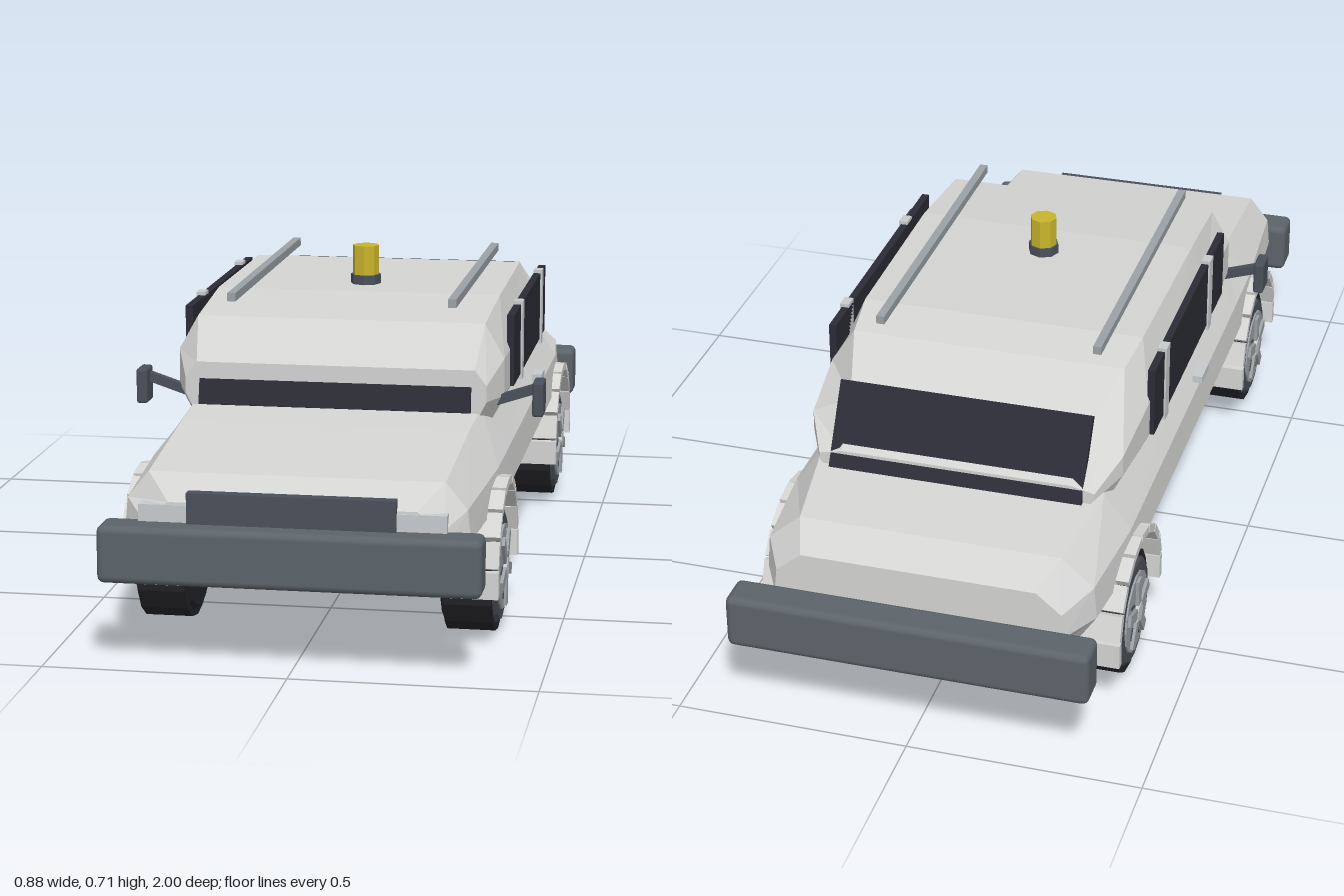
import * as THREE from 'three';
import { RoundedBoxGeometry } from 'three/addons/geometries/RoundedBoxGeometry.js';

const mat = (name, color, flat = true) => {
  const m = new THREE.MeshStandardMaterial({ color, flatShading: flat });
  m.name = name;
  return m;
};

// Closed hull from mirrored half sections [x, y], stations ordered front to back
function loft(stations) {
  const rings = stations.map(({ z, half }) => [
    ...half.map(([x, y]) => [x, y, z]),
    ...[...half].reverse().map(([x, y]) => [-x, y, z]),
  ]);
  const pos = [];
  const tri = (a, b, c) => pos.push(...a, ...b, ...c);
  const n = rings[0].length;
  for (let i = 0; i < rings.length - 1; i++) {
    for (let j = 0; j < n; j++) {
      const k = (j + 1) % n;
      const [a, b, c, d] = [rings[i][j], rings[i][k], rings[i + 1][j], rings[i + 1][k]];
      tri(a, c, d);
      tri(a, d, b);
    }
  }
  const front = rings[0], back = rings[rings.length - 1];
  for (let j = 1; j < n - 1; j++) {
    tri(front[0], front[j], front[j + 1]);
    tri(back[0], back[j + 1], back[j]);
  }
  const g = new THREE.BufferGeometry();
  g.setAttribute('position', new THREE.Float32BufferAttribute(pos, 3));
  g.computeVertexNormals();
  return g;
}

export function createModel() {
  const car = new THREE.Group();
  car.name = 'car';
  const paint = mat('paint', 0xd4d4d3);
  const glass = mat('dark glass', 0x2b2c35);
  const rubber = mat('rubber', 0x25252b);
  const trim = mat('slate trim', 0x4a505a);
  const bumperMat = mat('bumper grey', 0x5c646a, false);
  const metal = mat('metal', 0x9ba1a5);
  const chrome = mat('light trim', 0xc8cbcd);
  const amber = mat('beacon yellow', 0xc9b42c);

  const add = (name, geo, m, x = 0, y = 0, z = 0, parent = car) => {
    const mesh = new THREE.Mesh(geo, m);
    mesh.name = name;
    mesh.position.set(x, y, z);
    parent.add(mesh);
    return mesh;
  };
  const box = (name, m, w, h, d, x, y, z, parent) =>
    add(name, new THREE.BoxGeometry(w, h, d), m, x, y, z, parent);

  // Lower body: [z, floor half width, floor y, side half width, shoulder y, top half width, top y]
  const body = [
    [0.94, 0.27, 0.22, 0.31, 0.30, 0.25, 0.335],
    [0.89, 0.31, 0.21, 0.35, 0.33, 0.30, 0.385],
    [0.57, 0.33, 0.20, 0.372, 0.34, 0.305, 0.417],
    [0.40, 0.33, 0.20, 0.375, 0.345, 0.31, 0.428],
    [-0.60, 0.33, 0.20, 0.375, 0.345, 0.31, 0.425],
    [-0.82, 0.31, 0.20, 0.355, 0.34, 0.28, 0.40],
    [-0.905, 0.27, 0.215, 0.31, 0.32, 0.25, 0.365],
  ];
  add('body', loft(body.map(([z, wb, yb, w, ys, wt, yt]) => ({
    z, half: [[wb, yb], [w, 0.268], [w - 0.006, ys], [wt, yt]],
  }))), paint);

  // Cabin: [z, side half width, belt y, roof half width, roof y]
  const cabin = [
    [0.445, 0.325, 0.485, 0.30, 0.518],
    [0.37, 0.354, 0.53, 0.312, 0.605],
    [0.14, 0.355, 0.53, 0.316, 0.626],
    [-0.29, 0.355, 0.53, 0.312, 0.628],
    [-0.40, 0.353, 0.53, 0.30, 0.61],
    [-0.56, 0.34, 0.495, 0.255, 0.54],
    [-0.64, 0.30, 0.445, 0.25, 0.457],
  ];
  add('cabin', loft(cabin.map(([z, w, ym, wt, yt]) => ({
    z, half: [[w - 0.025, 0.40], [w, Math.min(0.45, ym - 0.015)], [w, ym], [wt, yt]],
  }))), paint);

  // Windscreen and sloping rear window
  const screen = box('windscreen', glass, 0.585, 0.055, 0.016, 0, 0.455, 0.452);
  screen.rotation.x = -0.25;
  const rear = box('rearWindow', glass, 0.55, 0.186, 0.014, 0, 0.5, -0.602);
  rear.rotation.x = Math.atan2(0.095, 0.16);

  // Grille, headlights and bumpers
  box('grille', trim, 0.42, 0.07, 0.025, 0, 0.323, 0.942);
  for (const s of [1, -1]) {
    box('headlight', chrome, 0.1, 0.05, 0.03, s * 0.26, 0.305, 0.93);
    add(s > 0 ? 'frontBumper' : 'rearBumper',
      new RoundedBoxGeometry(0.77, 0.118, 0.083, 2, 0.015), bumperMat, 0, 0.236, s * 0.9585);
  }

  // Parts mirrored on both sides
  for (const s of [1, -1]) {
    box('sideWindow', glass, 0.016, 0.156, 0.655, s * 0.355, 0.528, -0.058);
    for (const z of [0.125, -0.285]) box('windowPillar', chrome, 0.02, 0.175, 0.032, s * 0.357, 0.526, z);
    box('doorHandle', chrome, 0.022, 0.016, 0.066, s * 0.385, 0.412, -0.037);
    box('roofRail', metal, 0.018, 0.018, 0.765, s * 0.24, 0.645, -0.018);
    box('chassisRail', glass, 0.045, 0.02, 1.65, s * 0.19, 0.2, 0.02);
    add('mirror', new RoundedBoxGeometry(0.024, 0.076, 0.058, 1, 0.005), trim, s * 0.43, 0.452, 0.383);
    const arm = box('mirrorArm', trim, 0.095, 0.02, 0.018, s * 0.383, 0.456, 0.375);
    arm.rotation.z = s * 0.32;
  }

  // Roof beacon
  add('beaconBase', new THREE.CylinderGeometry(0.034, 0.034, 0.025, 8), trim, 0, 0.635, 0.035);
  add('beaconLamp', new THREE.CylinderGeometry(0.03, 0.03, 0.068, 8), amber, 0, 0.679, 0.035);

  // Wheels, built with the axle on y and the outer face up
  const cyl = (r, h, n) => new THREE.CylinderGeometry(r, r, h, n);
  const makeWheel = () => {
    const w = new THREE.Group();
    w.name = 'wheel';
    add('tyre', cyl(0.135, 0.1, 16), rubber, 0, 0, 0, w);
    add('sidewall', new THREE.CylinderGeometry(0.112, 0.122, 0.01, 16), trim, 0, 0.053, 0, w);
    add('innerSidewall', new THREE.CylinderGeometry(0.122, 0.112, 0.01, 16), rubber, 0, -0.053, 0, w);
    add('rim', cyl(0.09, 0.012, 16), metal, 0, 0.056, 0, w);
    add('hub', cyl(0.024, 0.024, 5), chrome, 0, 0.058, 0, w);
    for (let i = 0; i < 5; i++) {
      const spoke = new THREE.Group();
      spoke.name = 'spoke';
      spoke.rotation.y = (i / 5) * Math.PI * 2;
      box('spokeBar', metal, 0.06, 0.01, 0.024, 0.052, 0.064, 0, spoke);
      box('spokeGap', trim, 0.028, 0.004, 0.006, 0.05, 0.062, 0.022, spoke);
      w.add(spoke);
    }
    return w;
  };

  // Segmented arch of short slats over each wheel
  const makeArch = (s) => {
    const arch = new THREE.Group();
    arch.name = 'wheelArch';
    const count = 10;
    for (let i = 0; i < count; i++) {
      const a = (i / (count - 1)) * Math.PI;
      const slat = box('archSlat', paint, 0.14, 0.018, 0.056, s * 0.322,
        Math.sin(a) * 0.174, Math.cos(a) * 0.174, arch);
      slat.rotation.x = Math.PI / 2 - a;
    }
    return arch;
  };

  for (const s of [1, -1]) {
    for (const z of [0.59, -0.59]) {
      const wheel = makeWheel();
      wheel.position.set(s * 0.321, 0.135, z);
      wheel.rotation.z = -s * Math.PI / 2;
      const arch = makeArch(s);
      arch.position.set(0, 0.142, z);
      car.add(wheel, arch);
    }
  }
  return car;
}
